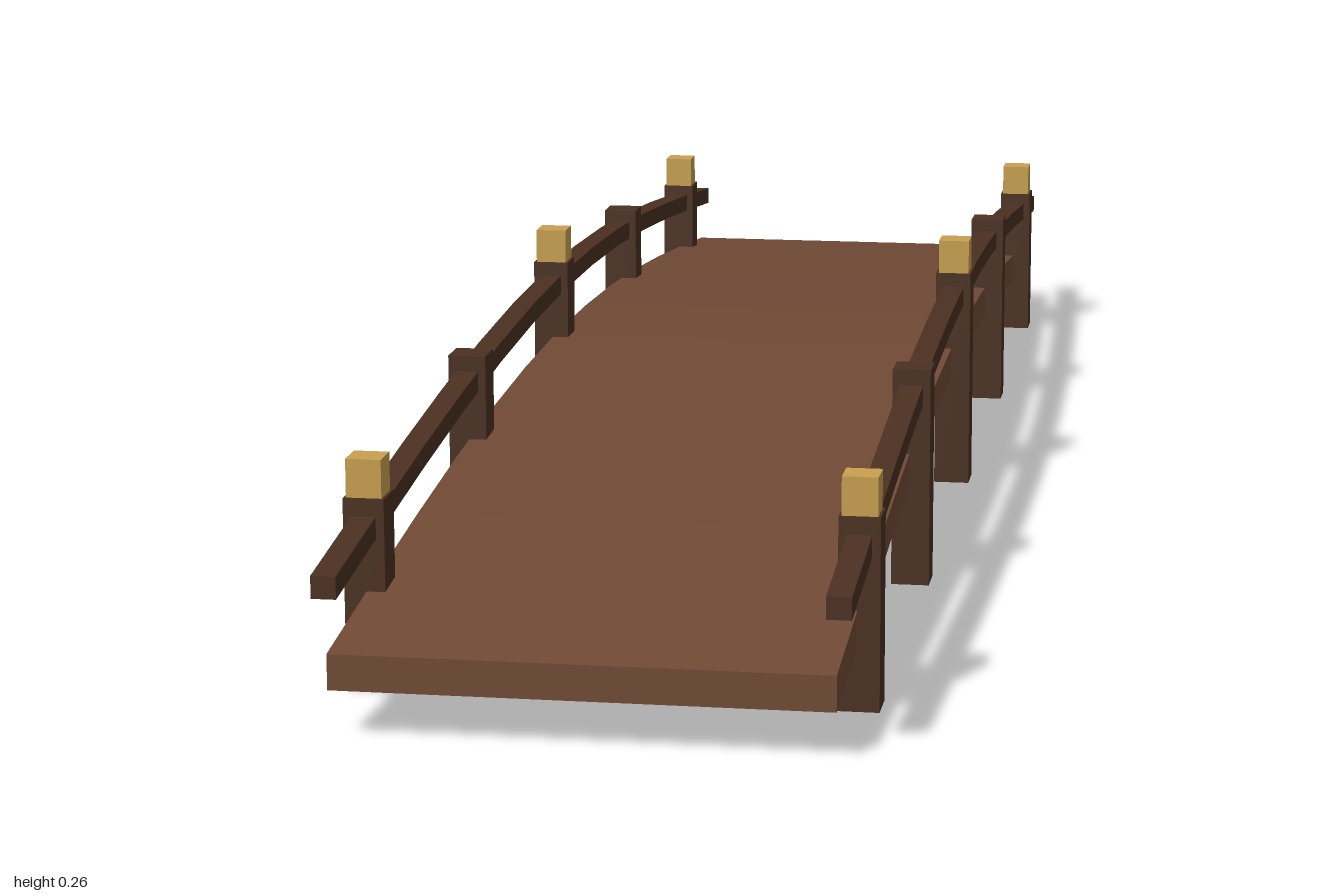
import * as THREE from 'three';

const deckWood = new THREE.MeshStandardMaterial({ color: 0x704a35 });
deckWood.name = 'deck wood';
const darkWood = new THREE.MeshStandardMaterial({ color: 0x4b3021 });
darkWood.name = 'dark wood';
const gold = new THREE.MeshStandardMaterial({ color: 0xc8a050 });
gold.name = 'gold';

// Rise of the arch above its ends at a given z
const rise = (z) => 0.073 * Math.cos((z * Math.PI) / 2);

// Beam along z, bent over the arch, with its end base at y
function archedBeam(name, width, height, y, material) {
  const box = new THREE.BoxGeometry(width, height, 2, 1, 1, 12);
  const p = box.attributes.position;
  for (let i = 0; i < p.count; i++) {
    p.setY(i, p.getY(i) + height / 2 + y + rise(p.getZ(i)));
  }
  const geometry = box.toNonIndexed();
  geometry.computeVertexNormals();
  const mesh = new THREE.Mesh(geometry, material);
  mesh.name = name;
  return mesh;
}

// Upright box between two heights
function block(name, size, y0, y1, x, z, material) {
  const mesh = new THREE.Mesh(new THREE.BoxGeometry(size, y1 - y0, size), material);
  mesh.name = name;
  mesh.position.set(x, (y0 + y1) / 2, z);
  return mesh;
}

export function createModel() {
  const bridge = new THREE.Group();
  bridge.name = 'archedFootbridge';

  // Deck
  bridge.add(archedBeam('deck', 0.436, 0.032, 0.043, deckWood));

  for (const side of [-1, 1]) {
    const label = side > 0 ? 'left' : 'right';
    const x = side * 0.2195;

    // Handrail
    const rail = archedBeam(label + 'Handrail', 0.022, 0.02, 0.123, darkWood);
    rail.position.x = x;
    bridge.add(rail);

    // Posts, with a gold cap on every other one
    for (let i = -2; i <= 2; i++) {
      const z = i * 0.42;
      const top = 0.157 + rise(z);
      bridge.add(block(label + 'Post', 0.037, 0, top, x, z, darkWood));
      if (i % 2 === 0) {
        bridge.add(block(label + 'PostCap', 0.032, top, top + 0.035, x, z, gold));
      }
    }
  }
  return bridge;
}
